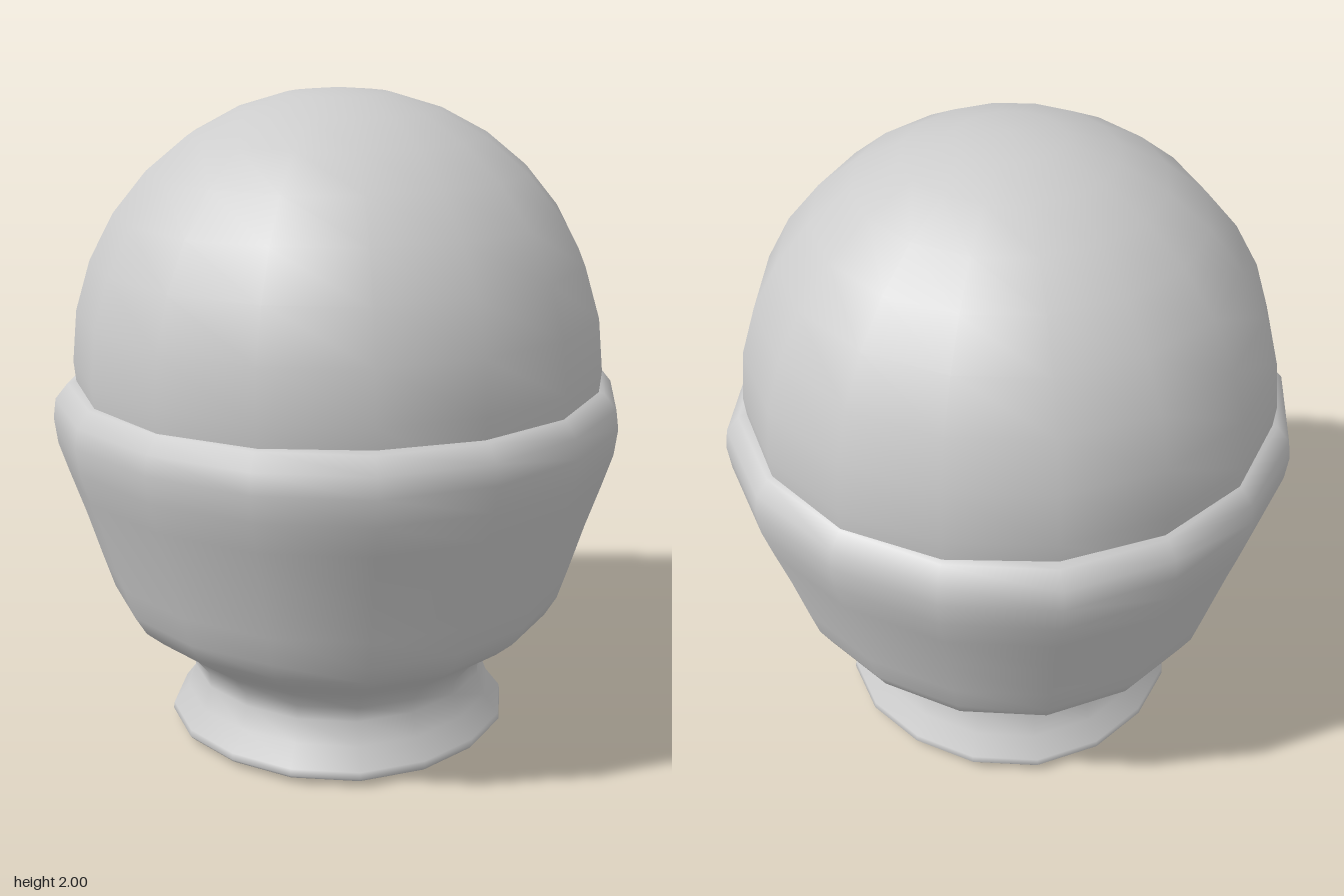
import * as THREE from 'three';
import { mergeVertices } from 'three/addons/utils/BufferGeometryUtils.js';

const SIDES = 16;

// Lathe whose cross-section bulges slightly on the diagonals, with smooth seamless normals
function softSquareLathe(profile) {
  const lathe = new THREE.LatheGeometry(profile.map(([r, y]) => new THREE.Vector2(r, y)), SIDES);
  lathe.deleteAttribute('uv');
  lathe.deleteAttribute('normal');
  const pos = lathe.attributes.position;
  for (let i = 0; i < pos.count; i++) {
    const x = pos.getX(i), z = pos.getZ(i);
    const s = 1 + 0.013 * (1 - Math.cos(4 * Math.atan2(z, x)));
    pos.setX(i, x * s);
    pos.setZ(i, z * s);
  }
  const geometry = mergeVertices(lathe, 1e-4);
  geometry.computeVertexNormals();
  return geometry;
}

export function createModel() {
  const group = new THREE.Group();
  const grey = new THREE.MeshStandardMaterial({ color: 0xcccccc });
  grey.name = 'plain grey';

  const add = (name, geometry) => {
    const mesh = new THREE.Mesh(geometry, grey);
    mesh.name = name;
    group.add(mesh);
    return mesh;
  };

  // Flared foot, narrow waist, bowl and rounded rim that tucks in under the ball
  add('cup', softSquareLathe([
    [0.515, 0.02], [0.523, 0.03], [0.52, 0.05], [0.475, 0.11], [0.45, 0.18],
    [0.452, 0.225], [0.5, 0.285], [0.6, 0.357], [0.655, 0.405], [0.69, 0.465],
    [0.72, 0.56], [0.765, 0.71], [0.81, 0.845], [0.84, 0.94], [0.85, 1.02],
    [0.842, 1.08], [0.805, 1.127], [0.75, 1.14], [0.7, 1.11],
  ]));

  // Nearly flat underside of the foot
  add('footBase', softSquareLathe([[0, 0], [0.45, 0.008], [0.515, 0.02]]));

  // Ball resting in the cup
  add('ball', new THREE.SphereGeometry(0.805, SIDES, 16)).position.y = 1.195;

  return group;
}
